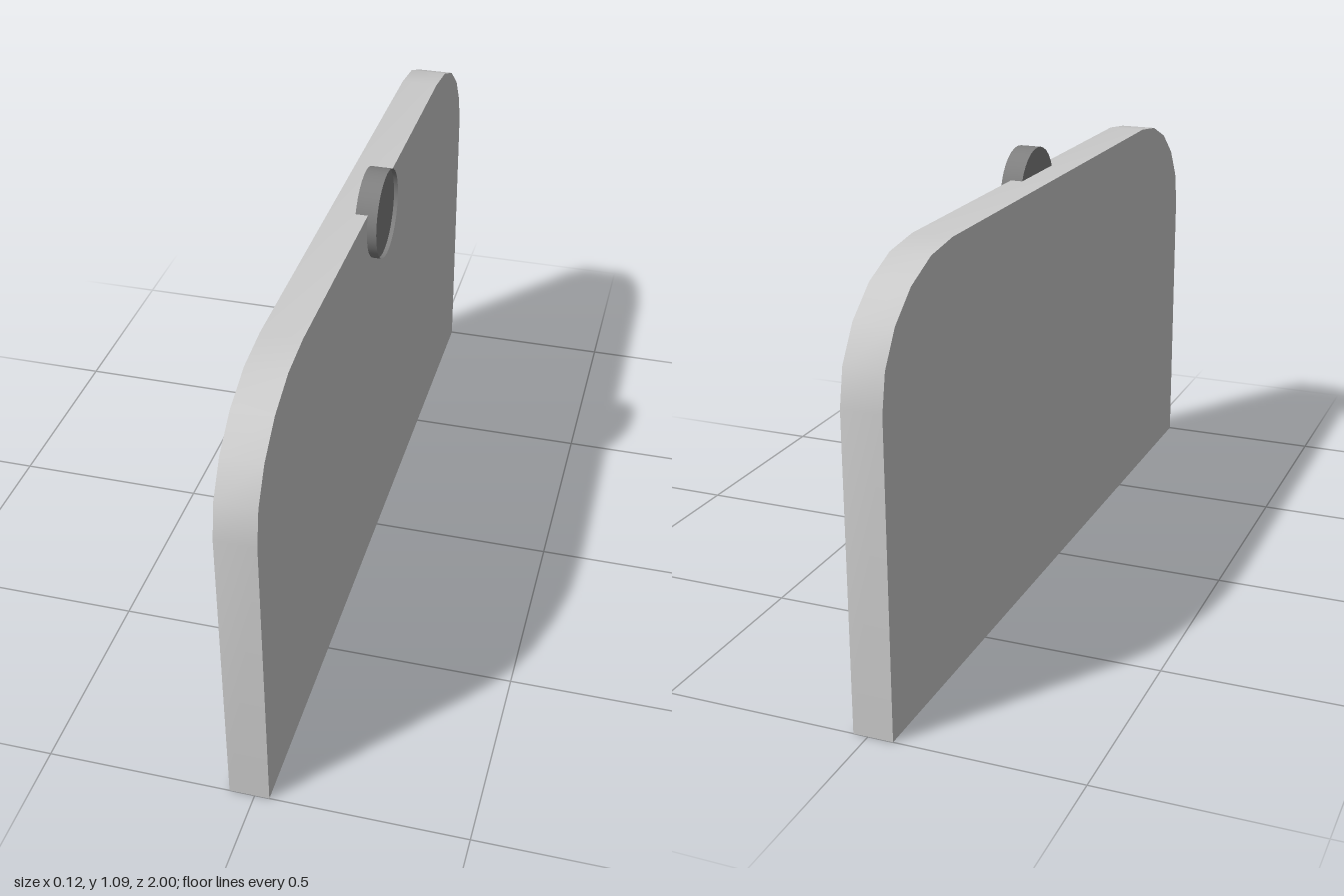
import * as THREE from 'three';
import { toCreasedNormals } from 'three/addons/utils/BufferGeometryUtils.js';

export function createModel() {
  const group = new THREE.Group();
  const grey = new THREE.MeshStandardMaterial({ color: 0xcccccc });
  const dark = new THREE.MeshStandardMaterial({ color: 0x808080, side: THREE.DoubleSide });

  // Upright panel with elliptical upper corners, each in five segments
  const height = 1.027, rx = 0.35, ry = 0.282, steps = 5;
  const points = [new THREE.Vector2(-1, 0), new THREE.Vector2(1, 0)];
  for (const side of [1, -1]) {
    for (let i = 0; i <= steps; i++) {
      const t = (side > 0 ? i : steps - i) / steps * Math.PI / 2;
      points.push(new THREE.Vector2(
        side * (1 - rx + rx * Math.cos(t)),
        height - ry + ry * Math.sin(t)
      ));
    }
  }
  const thickness = 0.095;
  const panelGeometry = new THREE.ExtrudeGeometry(new THREE.Shape(points), {
    depth: thickness, bevelEnabled: false,
  });
  panelGeometry.rotateY(Math.PI / 2).translate(-0.06, 0, 0);
  const panel = new THREE.Mesh(toCreasedNormals(panelGeometry, Math.PI / 5), grey);
  panel.name = 'panel';
  group.add(panel);

  // Round button set into the top edge, with a thin rim around a sunken face
  const button = new THREE.Group();
  button.name = 'button';
  button.position.set(0, 0.982, 0.005);
  const radius = 0.11, back = 0.005, front = 0.058, sides = 32;
  const wall = new THREE.CylinderGeometry(radius, radius, front - back, sides, 1, true);
  wall.rotateZ(-Math.PI / 2).translate((front + back) / 2, 0, 0);
  const rim = new THREE.Mesh(wall, dark);
  rim.name = 'buttonRim';
  button.add(rim);
  for (const [name, x, turn] of [['buttonFace', front - 0.01, 1], ['buttonBack', back, -1]]) {
    const disc = new THREE.CircleGeometry(radius, sides).rotateY(turn * Math.PI / 2);
    const mesh = new THREE.Mesh(disc.translate(x, 0, 0), dark);
    mesh.name = name;
    button.add(mesh);
  }
  group.add(button);

  return group;
}
